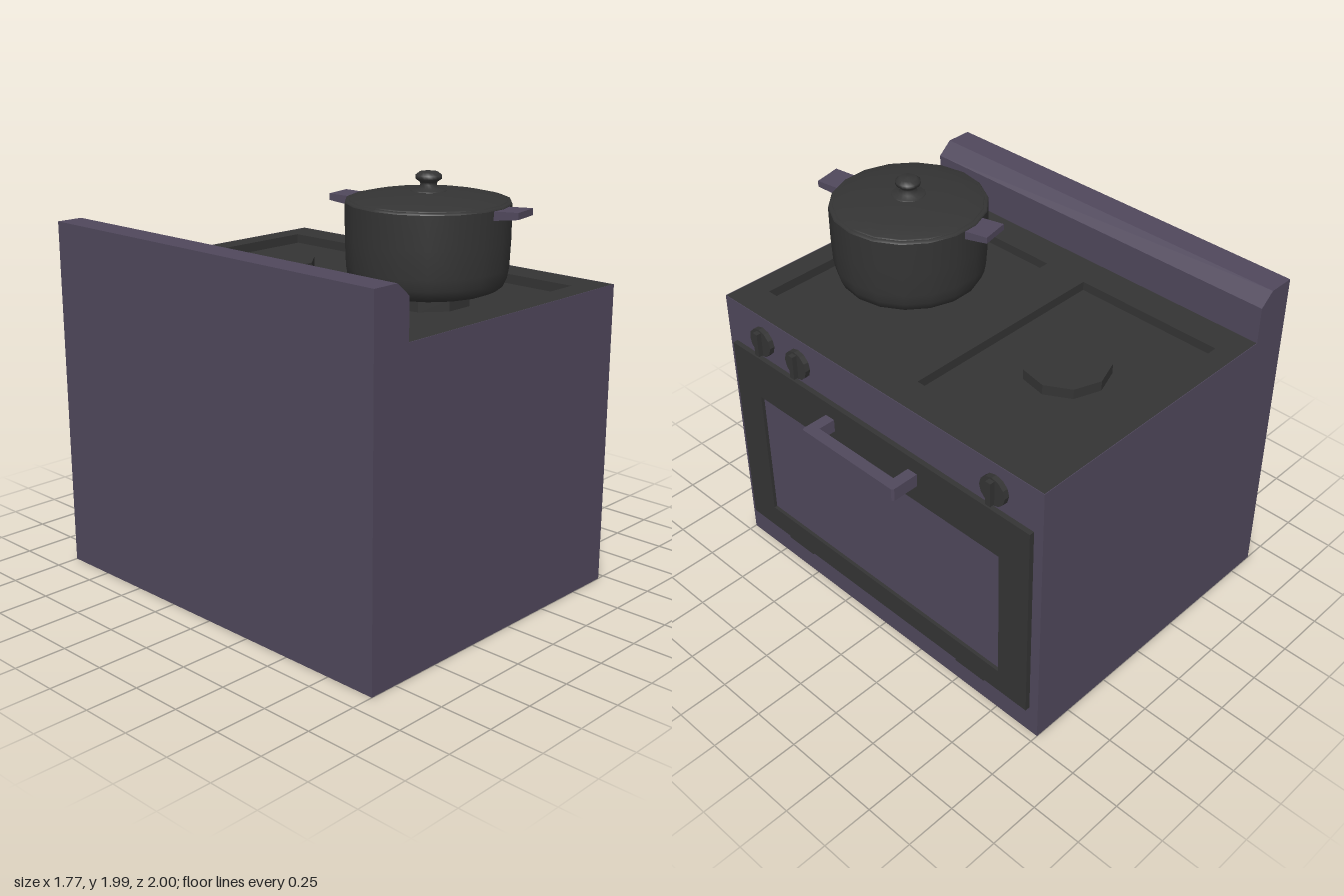
import * as THREE from 'three';

const purple = new THREE.MeshStandardMaterial({ color: 0x50485c });
purple.name = 'purpleEnamel';
const dark = new THREE.MeshStandardMaterial({ color: 0x343434 });
dark.name = 'darkMetal';

function add(parent, name, geometry, material, x = 0, y = 0, z = 0) {
  const mesh = new THREE.Mesh(geometry, material);
  mesh.name = name;
  mesh.position.set(x, y, z);
  parent.add(mesh);
  return mesh;
}

const box = (w, h, d) => new THREE.BoxGeometry(w, h, d);
const points = (list) => list.map(([x, y]) => new THREE.Vector2(x, y));
const rect = (x0, y0, x1, y1) => points([[x0, y0], [x1, y0], [x1, y1], [x0, y1]]);

function extrude(outline, depth, holes = []) {
  const shape = new THREE.Shape(outline);
  shape.holes = holes.map((h) => new THREE.Path(h));
  return new THREE.ExtrudeGeometry(shape, { depth, bevelEnabled: false });
}

// Flat-sided prism
function prism(radius, height, sides) {
  const g = new THREE.CylinderGeometry(radius, radius, height, sides).toNonIndexed();
  g.computeVertexNormals();
  return g;
}

function makeCooktop(parent) {
  // Dark plate with a recess for each burner; the body forms the recess base
  const holes = [rect(-0.53, 0.12, 0.55, 0.89), rect(-0.53, -0.88, 0.55, -0.11)];
  const plate = extrude(rect(-0.69, -0.997, 0.707, 0.997), 0.05, holes);
  plate.rotateX(-Math.PI / 2);
  add(parent, 'cooktop', plate, dark, 0, 1.4, 0);
  // Enamel edges around the plate
  add(parent, 'cooktopFrontEdge', box(0.003, 0.05, 2), purple, 0.7085, 1.425, 0);
  for (const s of [-1, 1]) {
    add(parent, 'cooktopSideEdge', box(1.397, 0.05, 0.003), purple, 0.0085, 1.425, s * 0.9985);
    add(parent, 'recessFloor', box(1.08, 0.005, 0.77), dark, 0.01, 1.4025, s * 0.5);
    const burner = add(parent, 'burner', prism(0.2, 0.055, 9), dark, 0.005, 1.4275, s * 0.49);
    burner.rotation.y = Math.PI;
  }
}

function makeDoor(parent) {
  const frame = extrude(rect(-0.95, 0.155, 0.95, 1.22), 0.025, [rect(-0.78, 0.28, 0.78, 0.985)]);
  frame.rotateY(Math.PI / 2);
  add(parent, 'doorFrame', frame, dark, 0.71, 0, 0);
  add(parent, 'doorWindow', box(0.008, 0.705, 1.56), purple, 0.714, 0.6325, 0);
  // U-shaped pull with clipped corners
  const pull = extrude(points([
    [0.73, -0.295], [0.867, -0.295], [0.877, -0.285], [0.877, 0.285], [0.867, 0.295],
    [0.73, 0.295], [0.73, 0.24], [0.82, 0.24], [0.82, -0.24], [0.73, -0.24],
  ]), 0.065);
  pull.rotateX(-Math.PI / 2);
  add(parent, 'doorHandle', pull, purple, 0, 1.08, 0);
  for (const s of [-1, 1]) {
    add(parent, 'doorHinge', box(0.018, 0.025, 0.18), dark, 0.719, 0.1455, s * 0.593);
  }
}

function makeKnob(parent, z) {
  const knob = new THREE.Group();
  knob.name = 'controlKnob';
  knob.position.set(0.71, 1.323, z);
  const disc = prism(0.072, 0.026, 12);
  disc.rotateZ(-Math.PI / 2);
  add(knob, 'knobDisc', disc, dark, 0.013, 0, 0);
  add(knob, 'knobGrip', box(0.026, 0.122, 0.028), dark, 0.037, 0, 0);
  parent.add(knob);
}

function makePot() {
  const pot = new THREE.Group();
  pot.name = 'cookingPot';
  pot.position.set(0.005, 0, 0.49);
  pot.rotation.y = 0.197;
  const lathe = (name, list) => add(pot, name, new THREE.LatheGeometry(points(list), 18), dark);
  lathe('potBody', [[0, 1.458], [0.2, 1.463], [0.3, 1.475], [0.335, 1.492], [0.352, 1.53],
    [0.361, 1.58], [0.366, 1.7], [0.367, 1.855]]);
  lathe('potRim', [[0.367, 1.855], [0.362, 1.864], [0.345, 1.864]]);
  lathe('potLid', [[0.35, 1.862], [0.345, 1.869], [0.27, 1.885], [0.18, 1.895], [0.08, 1.902], [0, 1.904]]);
  lathe('lidKnob', [[0.08, 1.9], [0.076, 1.907], [0.045, 1.914], [0.035, 1.93], [0.04, 1.942],
    [0.058, 1.955], [0.058, 1.97], [0.04, 1.984], [0, 1.989]]);
  // Tapered grips on opposite sides
  const grip = extrude(points([[0.34, 1.812], [0.468, 1.828], [0.468, 1.858], [0.34, 1.853]]), 0.14);
  grip.translate(0, 0, -0.07);
  for (const s of [-1, 1]) {
    add(pot, 'potHandle', grip, purple).rotation.y = -s * Math.PI / 2;
  }
  return pot;
}

export function createModel() {
  const stove = new THREE.Group();
  stove.name = 'stove';
  // Body and backsplash in one side profile
  const body = extrude(points([
    [-0.89, 0], [0.71, 0], [0.71, 1.4], [-0.69, 1.4], [-0.69, 1.635], [-0.76, 1.695], [-0.89, 1.695],
  ]), 2);
  add(stove, 'body', body, purple, 0, 0, -1);
  makeCooktop(stove);
  makeDoor(stove);
  for (const z of [0.735, 0.485, -0.74]) makeKnob(stove, z);
  stove.add(makePot());
  return stove;
}
